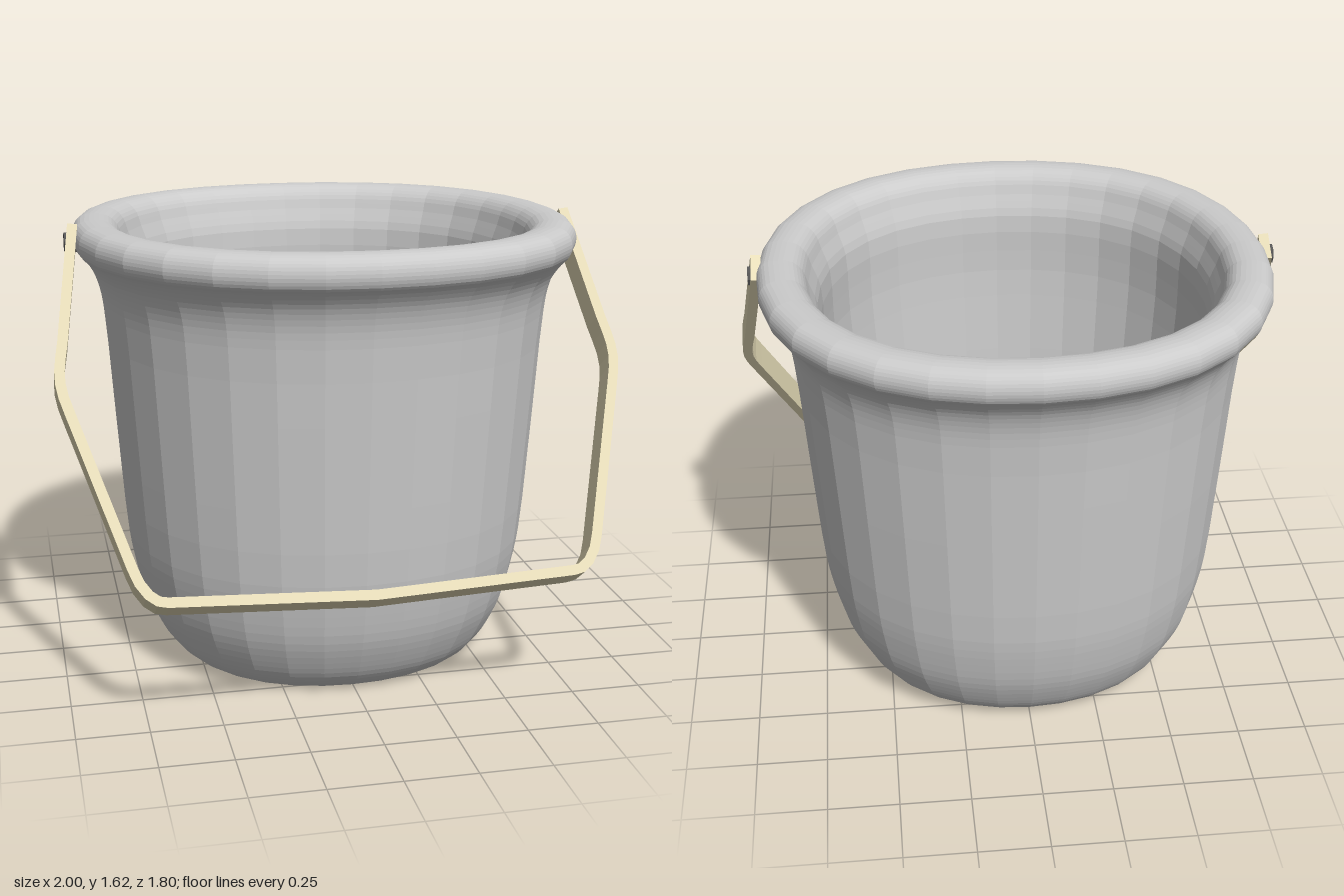
import * as THREE from 'three';

const material = (color) => new THREE.MeshStandardMaterial({ color, flatShading: true });

// Pail: one closed profile, up the outside, over the rolled rim and down the inside
function makePail() {
  const floorRadius = 0.43, floorHeight = 0.1;
  const wall = new THREE.CatmullRomCurve3([
    [0.53, 0], [0.565, 0.022], [0.61, 0.07], [0.65, 0.14], [0.688, 0.23], [0.715, 0.34],
    [0.735, 0.46], [0.767, 0.88], [0.797, 1.3], [0.81, 1.38], [0.832, 1.44],
    [0.865, 1.488], [0.89, 1.515], [0.9, 1.55], [0.893, 1.585], [0.87, 1.61],
    [0.82, 1.62], [0.77, 1.61], [0.74, 1.58], [0.722, 1.53], [0.695, 1.45],
    [0.69, 1.22], [0.667, 0.88], [0.637, 0.47], [0.62, 0.36], [0.593, 0.27],
    [0.555, 0.2], [0.5, 0.145], [floorRadius, floorHeight],
  ].map(([r, y]) => new THREE.Vector3(r, y, 0)));
  const profile = [
    new THREE.Vector2(0, 0),
    ...wall.getPoints(84).map((p) => new THREE.Vector2(p.x, p.y)),
    new THREE.Vector2(0, floorHeight),
  ];
  const geometry = new THREE.LatheGeometry(profile, 32);

  // Plan is slightly fuller on the diagonals; the inner floor is a square with bowed sides
  const pos = geometry.attributes.position;
  for (let i = 0; i < pos.count; i++) {
    const x = pos.getX(i), y = pos.getY(i), z = pos.getZ(i);
    const diagonal = Math.sin(2 * Math.atan2(z, x)) ** 2;
    const nearFloor = y > floorHeight - 0.01 ? Math.max(0, (0.56 - Math.hypot(x, z)) / 0.13) : 0;
    const scale = 1 + 0.03 * diagonal + 0.14 * Math.min(nearFloor, 1) * diagonal ** 2;
    pos.setX(i, x * scale);
    pos.setZ(i, z * scale);
  }
  geometry.computeVertexNormals();
  const pail = new THREE.Mesh(geometry, material(0xcccccc));
  pail.name = 'pail';
  return pail;
}

// Handle: a flat strap outline, thickened inwards and extruded to its width
function makeHandle() {
  const thickness = 0.035, width = 0.1;
  const half = [
    [0.917, 0], [0.98, 0.44], [0.991, 0.5], [0.998, 0.55], [0.998, 0.6], [0.99, 0.65],
    [0.973, 0.71], [0.812, 1.255], [0.792, 1.31], [0.762, 1.355], [0.727, 1.382], [0.69, 1.39],
  ];
  const outer = [
    ...half, [0, 1.42], ...half.slice().reverse().map(([x, s]) => [-x, s]),
  ].map(([x, s]) => new THREE.Vector2(x, -s));
  const inner = outer.map((p, i) => {
    const a = outer[Math.max(i - 1, 0)], b = outer[Math.min(i + 1, outer.length - 1)];
    const t = b.clone().sub(a).normalize();
    return new THREE.Vector2(p.x + t.y * thickness, p.y - t.x * thickness);
  });
  const shape = new THREE.Shape([...outer, ...inner.reverse()]);
  const geometry = new THREE.ExtrudeGeometry(shape, { depth: width, bevelEnabled: false });
  geometry.translate(0, 0, -width / 2);
  const handle = new THREE.Mesh(geometry, material(0xe6dcb8));
  handle.name = 'handle';
  handle.position.set(0, 1.59, 0.015);
  handle.rotation.x = -0.632;
  return handle;
}

// Rivet: the eight-sided pin that holds one end of the handle
function makeRivet(side) {
  const geometry = new THREE.CylinderGeometry(0.035, 0.035, 0.06, 8);
  const rivet = new THREE.Mesh(geometry, material(0x555555));
  rivet.name = side > 0 ? 'leftRivet' : 'rightRivet';
  rivet.rotation.z = Math.PI / 2;
  rivet.position.set(side * 0.9, 1.55, 0.035);
  return rivet;
}

export function createModel() {
  const bucket = new THREE.Group();
  bucket.name = 'bucket';
  bucket.add(makePail(), makeHandle(), makeRivet(1), makeRivet(-1));
  return bucket;
}
